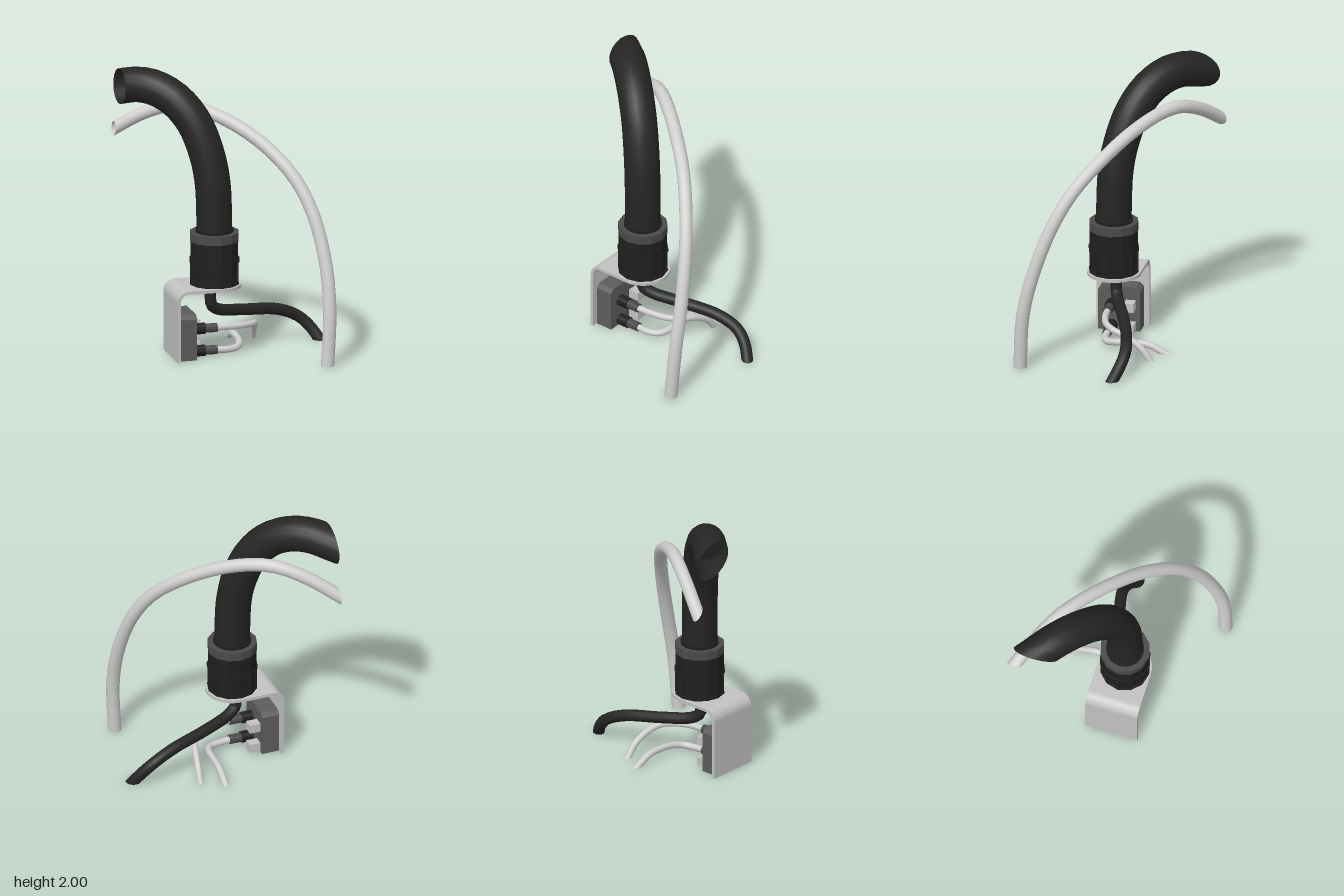
import * as THREE from 'three';

const mat = (name, color, flatShading = false) => {
  const m = new THREE.MeshStandardMaterial({ color, flatShading, side: THREE.DoubleSide });
  m.name = name;
  return m;
};

export function createModel() {
  const model = new THREE.Group();
  model.name = 'cableConduitAssembly';

  const hoseBlack = mat('hoseBlack', 0x252525);
  const collarBlack = mat('collarBlack', 0x1f1f1f, true);
  const ringGrey = mat('ringGrey', 0x4a4a4a, true);
  const boxGrey = mat('boxGrey', 0x5c5c5c, true);
  const metal = mat('lightMetal', 0xc2c2c2);
  const tubeWhite = mat('tubeWhite', 0xcfcfcf);

  const add = (name, geo, material, x = 0, y = 0, z = 0, parent = model) => {
    const mesh = new THREE.Mesh(geo, material);
    mesh.name = name;
    mesh.position.set(x, y, z);
    parent.add(mesh);
    return mesh;
  };

  // Extends the path past its end and slides the overshoot back onto a cutting plane
  const addTube = (name, points, radius, material, segments, sides, endCut, startCut) => {
    const pts = points.map((p) => new THREE.Vector3(...p));
    const cuts = [];
    const extend = (end, before, cut) => {
      const dir = end.clone().sub(before).normalize();
      cuts.push({ dir, ...cut });
      return end.clone().addScaledVector(dir, radius * 1.6);
    };
    const n = pts.length;
    const tail = endCut && extend(pts[n - 1], pts[n - 2], endCut);
    const head = startCut && extend(pts[0], pts[1], startCut);
    if (tail) pts.push(tail);
    if (head) pts.unshift(head);
    const geo = new THREE.TubeGeometry(new THREE.CatmullRomCurve3(pts), segments, radius, sides);
    const pos = geo.attributes.position;
    const v = new THREE.Vector3();
    for (let i = 0; i < pos.count; i++) {
      v.fromBufferAttribute(pos, i);
      for (const { dir, axis, min } of cuts) {
        if (v[axis] < min) v.addScaledVector(dir, (min - v[axis]) / dir[axis]);
      }
      pos.setXYZ(i, v.x, v.y, v.z);
    }
    return add(name, geo, material);
  };
  const floorCut = { axis: 'y', min: 0 };
  const sideCut = { axis: 'x', min: -0.7 };

  // Thick hose and the pale tube arching beside it
  addTube('mainHose', [
    [-0.145, 0.86, 0.053], [-0.147, 1.05, 0.05], [-0.155, 1.23, 0.043], [-0.185, 1.42, 0.016],
    [-0.26, 1.645, -0.05], [-0.365, 1.79, -0.138], [-0.49, 1.865, -0.245],
    [-0.6, 1.874, -0.34], [-0.7, 1.845, -0.424],
  ], 0.125, hoseBlack, 26, 20, sideCut);
  addTube('archedTube', [
    [0.53, 0, 0.575], [0.553, 0.4, 0.55], [0.542, 0.72, 0.475], [0.485, 1.04, 0.36],
    [0.39, 1.27, 0.235], [0.225, 1.47, 0.06], [0.01, 1.62, -0.12], [-0.2, 1.695, -0.28],
    [-0.34, 1.695, -0.38], [-0.52, 1.62, -0.485], [-0.7, 1.5, -0.58],
  ], 0.047, tubeWhite, 32, 14, sideCut, floorCut);

  // Black cable leaving through the bracket
  addTube('blackCable', [
    [-0.17, 0.5, 0.04], [-0.17, 0.4, 0.04], [-0.16, 0.345, 0.036], [-0.1, 0.305, 0.012],
    [0.1, 0.27, -0.065], [0.37, 0.23, -0.148], [0.52, 0.165, -0.172], [0.605, 0.085, -0.15],
    [0.66, 0, -0.11],
  ], 0.041, hoseBlack, 36, 12, floorCut);

  // Collar: stacked rings on one axis
  const collar = new THREE.Group();
  collar.name = 'collar';
  collar.position.set(-0.145, 0, 0.052);
  model.add(collar);
  const ring = (name, r, y0, y1, material, sides = 12) =>
    add(name, new THREE.CylinderGeometry(r, r, y1 - y0, sides), material, 0, (y0 + y1) / 2, 0, collar);
  ring('collarNut', 0.165, 0.51, 0.675, collarBlack);
  ring('collarBase', 0.176, 0.51, 0.525, collarBlack);
  ring('collarFlange', 0.18, 0.67, 0.69, collarBlack);
  ring('collarBody', 0.172, 0.69, 0.815, collarBlack);
  ring('collarTopRing', 0.175, 0.822, 0.884, ringGrey);
  ring('collarGap', 0.168, 0.81, 0.83, collarBlack);
  ring('collarNeck', 0.133, 0.88, 0.905, collarBlack, 20);
  for (let i = 0; i < 12; i++) {
    const a = (i / 12) * Math.PI * 2;
    const rib = add('nutRib', new THREE.BoxGeometry(0.02, 0.15, 0.02), collarBlack,
      Math.sin(a) * 0.163, 0.6, Math.cos(a) * 0.163, collar);
    rib.rotation.y = a;
  }

  // Bent bracket: angle profile swept along z, finished by a half disc
  const t = 0.022, left = -0.46, top = 0.51, bend = 0.08, midZ = 0.05, half = 0.19;
  const profile = new THREE.Shape();
  profile.moveTo(left, 0);
  profile.lineTo(left, top - bend);
  profile.absarc(left + bend, top - bend, bend, Math.PI, Math.PI / 2, true);
  profile.lineTo(-0.145, top);
  profile.lineTo(-0.145, top - t);
  profile.lineTo(left + bend, top - t);
  profile.absarc(left + bend, top - bend, bend - t, Math.PI / 2, Math.PI, false);
  profile.lineTo(left + t, 0);
  profile.closePath();
  add('bracket', new THREE.ExtrudeGeometry(profile, { depth: half * 2, bevelEnabled: false, curveSegments: 8 }),
    metal, 0, 0, midZ - half);
  add('bracketRoundEnd', new THREE.CylinderGeometry(half, half, t, 20, 1, false, 0, Math.PI),
    metal, -0.145, top - t / 2, midZ);

  // Terminal box with chamfered top corners
  const face = new THREE.Shape([
    [-0.15, 0], [0.15, 0], [0.15, 0.295], [0.12, 0.325], [-0.12, 0.325], [-0.15, 0.295],
  ].map(([x, y]) => new THREE.Vector2(x, y)));
  const box = add('terminalBox', new THREE.ExtrudeGeometry(face, { depth: 0.13, bevelEnabled: false }),
    boxGrey, -0.44, 0, midZ);
  box.rotation.y = Math.PI / 2;

  // Plugs and light sockets on the box
  const plugPart = (name, r, x0, x1, y, material) => {
    const p = add(name, new THREE.CylinderGeometry(r, r, x1 - x0, 12), material, (x0 + x1) / 2, y, 0.1);
    p.rotation.z = Math.PI / 2;
  };
  for (const y of [0.2, 0.041]) {
    plugPart('plug', 0.041, -0.312, -0.228, y, collarBlack);
    plugPart('plugSleeve', 0.033, -0.23, -0.14, y, ringGrey);
    add('lightSocket', new THREE.BoxGeometry(0.08, 0.065, 0.07), metal, -0.27, y, -0.035);
  }

  // Thin cables from the plugs
  addTube('upperThinCable', [
    [-0.15, 0.2, 0.1], [-0.03, 0.197, 0.09], [0.08, 0.19, 0.055], [0.16, 0.18, -0.015],
    [0.195, 0.15, -0.12], [0.215, 0.085, -0.22], [0.222, 0, -0.285],
  ], 0.023, tubeWhite, 28, 10, floorCut);
  addTube('lowerThinCable', [
    [-0.15, 0.041, 0.1], [-0.06, 0.035, 0.095], [0.015, 0.04, 0.065], [0.05, 0.052, 0],
    [0.062, 0.062, -0.11], [0.065, 0.056, -0.24], [0.068, 0, -0.36],
  ], 0.024, tubeWhite, 28, 10, floorCut);

  return model;
}
